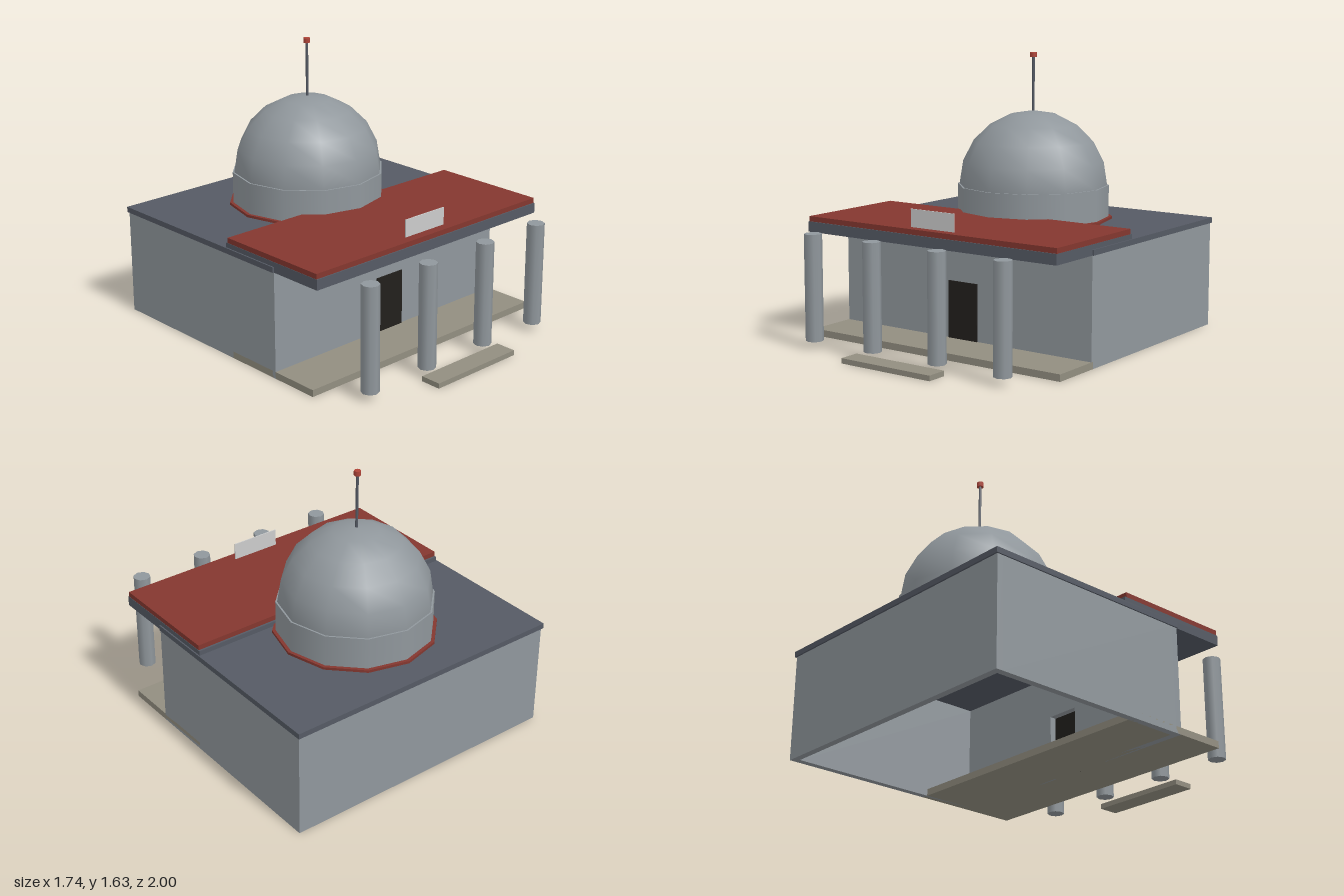
import * as THREE from 'three';

const paint = (color) => new THREE.MeshStandardMaterial({ color });

export function createModel() {
  const model = new THREE.Group();
  const stone = paint(0x90979c), slate = paint(0x555a64), red = paint(0x84372f);
  const paving = paint(0x928e80), black = paint(0x221f1c), finialRed = paint(0xb04438);
  const plain = paint(0xcccccc);

  const add = (name, geometry, material, x = 0, y = 0, z = 0) => {
    const mesh = new THREE.Mesh(geometry, material);
    mesh.name = name;
    mesh.position.set(x, y, z);
    model.add(mesh);
    return mesh;
  };
  // box given by its x half width and its y and z ranges
  const block = (name, material, halfX, y0, y1, z0, z1) =>
    add(name, new THREE.BoxGeometry(halfX * 2, y1 - y0, z1 - z0), material, 0, (y0 + y1) / 2, (z0 + z1) / 2);
  const drumPart = (name, material, r, sides, y0, y1, x, z) =>
    add(name, new THREE.CylinderGeometry(r, r, y1 - y0, sides), material, x, (y0 + y1) / 2, z);

  // hall: hollow walls, open underneath
  const W = 0.86, T = 0.04, H = 0.62, back = -0.99, front = 0.31;
  block('backWall', stone, W, 0, H, back, back + T);
  for (const [side, name] of [[1, 'leftWall'], [-1, 'rightWall']]) {
    add(name, new THREE.BoxGeometry(T, H, front - back - 2 * T), stone,
      side * (W - T / 2), H / 2, (front + back) / 2);
  }

  // front wall with the doorway cut out
  const wall = new THREE.Shape([[-W, 0], [-0.1, 0], [-0.1, 0.37], [0.1, 0.37], [0.1, 0], [W, 0], [W, H], [-W, H]]
    .map(([x, y]) => new THREE.Vector2(x, y)));
  add('frontWall', new THREE.ExtrudeGeometry(wall, { depth: T, bevelEnabled: false }), stone, 0, 0, front - T);
  block('door', black, 0.1, 0, 0.372, 0.309, 0.317);

  // terrace and entrance step
  block('terrace', paving, W, 0, 0.04, -0.05, 0.61);
  block('step', paving, 0.305, 0, 0.03, 0.876, 1);

  // main roof and porch canopy
  block('roof', slate, 0.868, H, 0.652, -1, 0.31);
  block('canopyBase', slate, 0.86, H, 0.68, -0.09, 0.65);
  block('canopyTop', red, 0.858, 0.68, 0.71, -0.077, 0.643);
  block('signPanel', plain, 0.15, 0.71, 0.812, 0.581, 0.587);

  // porch columns
  for (const x of [-0.655, -0.225, 0.225, 0.655]) {
    drumPart('column', stone, 0.051, 8, 0.044, 0.656, x, 0.833);
  }

  // dome on its drum
  const domeZ = -0.376;
  drumPart('drumTrim', red, 0.47, 12, 0.645, 0.667, 0, domeZ);
  drumPart('drum', stone, 0.45, 12, 0.65, 0.852, 0, domeZ);
  add('dome', new THREE.SphereGeometry(0.44, 12, 5, 0, Math.PI * 2, 0, Math.PI / 2), stone, 0, 0.852, domeZ);

  // mast
  drumPart('mast', slate, 0.008, 6, 1.28, 1.61, 0, domeZ);
  drumPart('finial', finialRed, 0.02, 8, 1.605, 1.633, 0, domeZ);

  return model;
}
